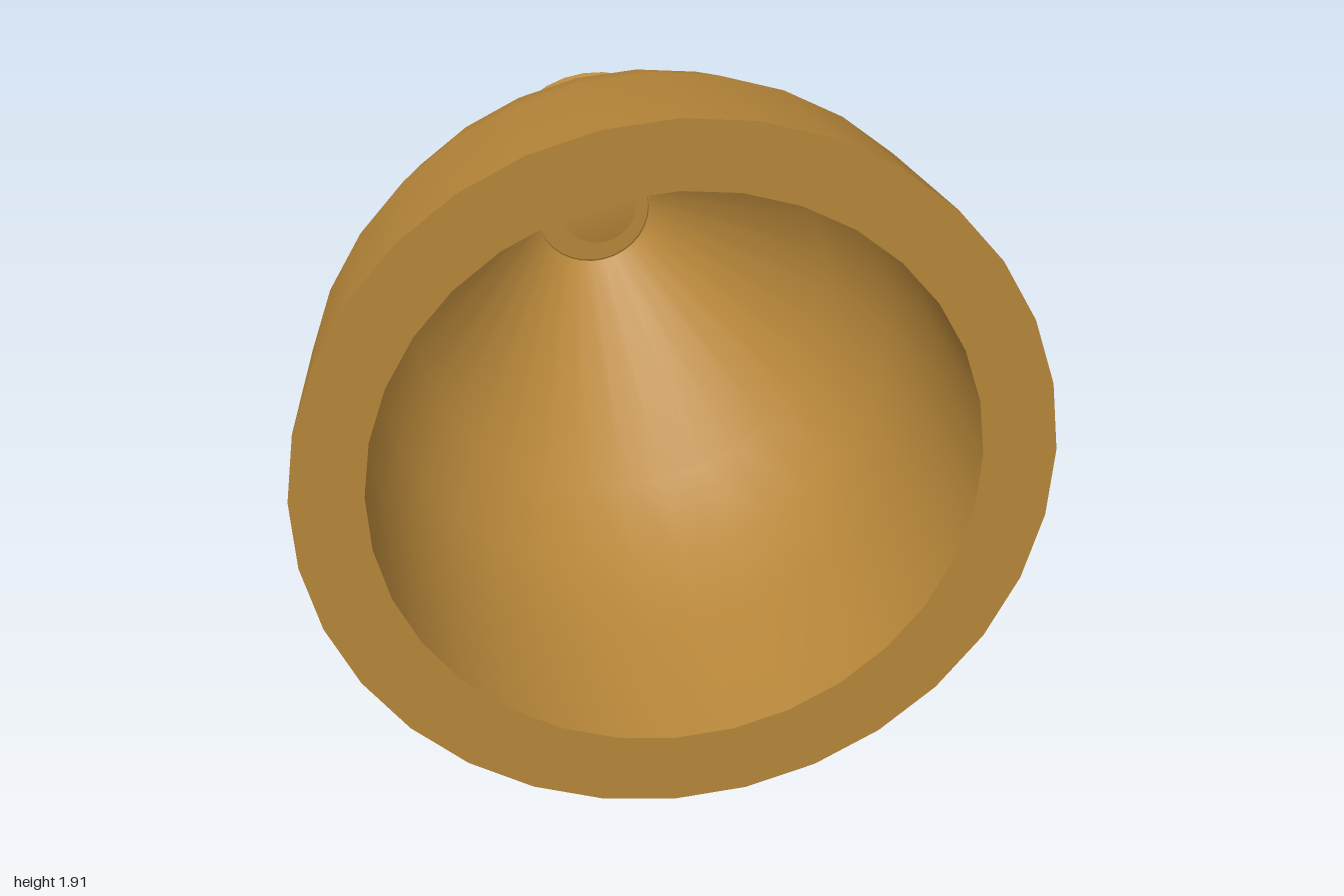
import * as THREE from 'three';

const CENTRE_Y = 0.958;
const NECK = 0.57;

export function createModel() {
  const group = new THREE.Group();
  const brass = new THREE.MeshStandardMaterial({ color: 0xb8873a });
  brass.name = 'warm brass';

  // Turned part: profile of [radius, depth], with depth running towards the back
  function turned(name, profile) {
    const geometry = new THREE.LatheGeometry(profile.map(([r, d]) => new THREE.Vector2(r, d)), 32);
    geometry.rotateX(-Math.PI / 2);
    const mesh = new THREE.Mesh(geometry, brass);
    mesh.name = name;
    mesh.position.y = CENTRE_Y;
    group.add(mesh);
    return mesh;
  }

  // Bell shell: the wall thins from the rim to the neck
  const outer = [[0.957, -1], [0.877, -0.53], [0.787, -0.29], [0.64, -0.03], [0.165, NECK]];
  const inner = outer.map(([r, d]) => [r - 0.187 * (NECK - d) / (NECK + 1), d]).reverse();
  turned('bellOuter', outer);
  turned('bellInner', inner);
  turned('bellRim', [[0.77, -1], [0.957, -1]]);

  // Collar around the neck, with its flat front closing the bell
  turned('collar', [[0.16, 0.565], [0.18, 0.582], [0.18, 0.608], [0.16, 0.637], [0.1, 0.648]]);
  turned('collarFloor', [[0, 0.568], [0.166, 0.568]]);

  // Flared handle knob, leaning to one side
  const knob = turned('knob', [[0.108, 0], [0.298, 0.239], [0.23, 0.337], [0, 0.339]]);
  knob.position.set(0.015, CENTRE_Y + 0.005, -0.62);
  knob.rotation.y = -0.237;

  // Round end of the knob showing inside the bell
  const stud = turned('knobBase', [[0, 0], [0.11, 0], [0.11, 0.02]]);
  stud.position.set(0.015, CENTRE_Y + 0.005, -0.562);

  return group;
}
